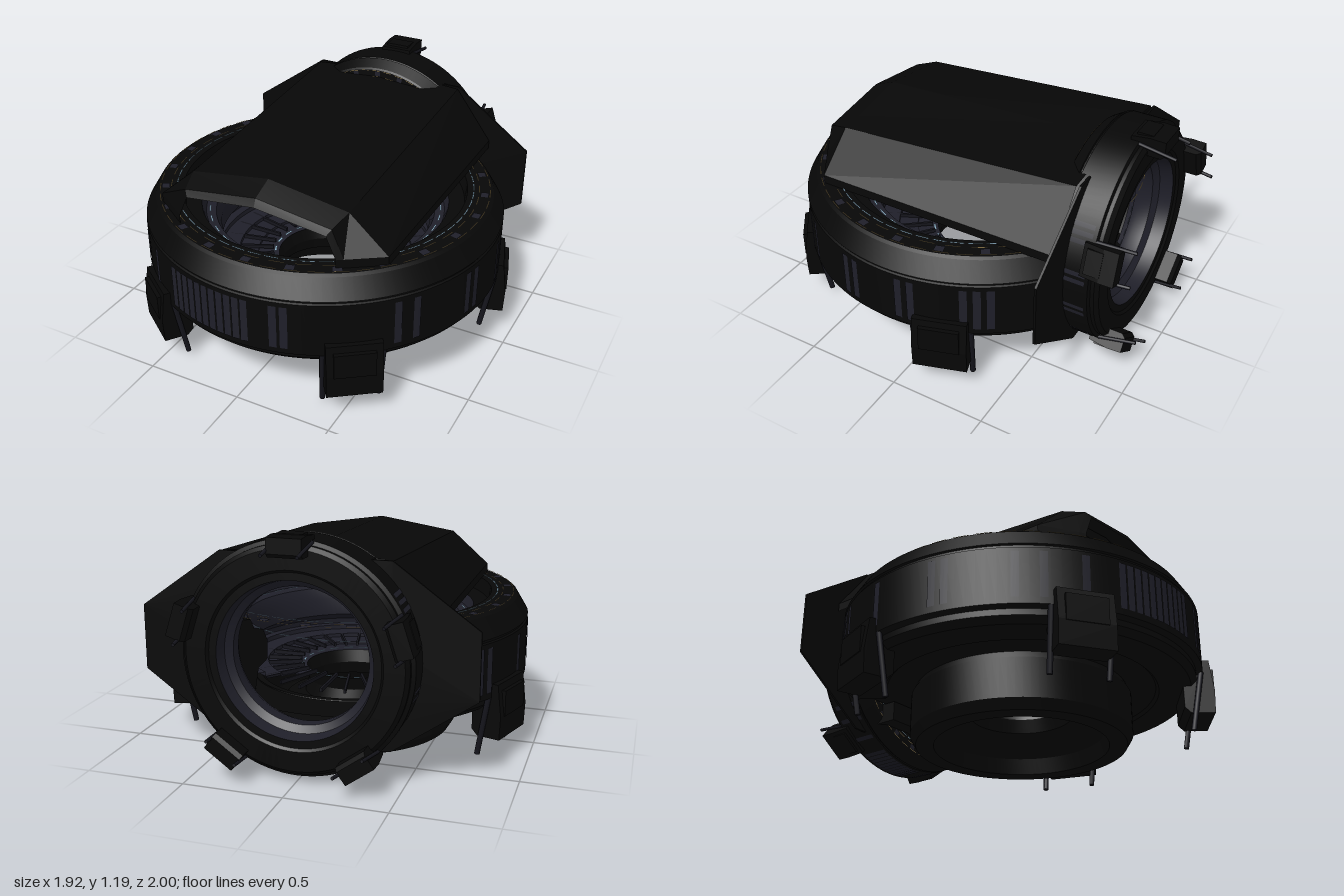
import * as THREE from 'three';
import { toCreasedNormals, mergeGeometries } from 'three/addons/utils/BufferGeometryUtils.js';

const mat = (name, color) => {
  const m = new THREE.MeshStandardMaterial({ color, side: THREE.DoubleSide });
  m.name = name;
  return m;
};
const rad = THREE.MathUtils.degToRad;

export function createModel() {
  const hull = mat('black hull', 0x070707);
  const panel = mat('slate panel', 0x1f1f29);
  const trim = mat('dark slate trim', 0x15151c);
  const gold = mat('gold light', 0xb59a62);
  const blue = mat('pale blue light', 0x8fb2c8);

  const model = new THREE.Group();
  const add = (parent, name, geo, material, x = 0, y = 0, z = 0) => {
    const mesh = new THREE.Mesh(geo, material);
    mesh.name = name;
    mesh.position.set(x, y, z);
    parent.add(mesh);
    return mesh;
  };
  const vec = (pts) => pts.map(([x, y]) => new THREE.Vector2(x, y));
  const lathe = (pts, start = 0, length = Math.PI * 2) =>
    toCreasedNormals(new THREE.LatheGeometry(vec(pts), 96, start, length), 0.4);

  // Flat dashed circle facing up
  const dashes = (r, count, fill, width, y) => mergeGeometries(
    Array.from({ length: count }, (_, i) => {
      const step = Math.PI * 2 / count;
      const g = new THREE.RingGeometry(r - width / 2, r + width / 2, 3, 1, i * step, step * fill);
      return g.rotateX(-Math.PI / 2).translate(0, y, 0);
    }));

  // Thin strut between two points
  const strut = (a, b, r) => {
    const d = b.clone().sub(a);
    const g = new THREE.CylinderGeometry(r, r, d.length(), 8);
    g.applyQuaternion(new THREE.Quaternion().setFromUnitVectors(new THREE.Vector3(0, 1, 0), d.normalize()));
    return g.translate((a.x + b.x) / 2, (a.y + b.y) / 2, (a.z + b.z) / 2);
  };

  // Outer wall, inner lip and throat profiles shared by both rings
  const wall = [[0.62, 0.29], [0.68, 0.29], [0.7, 0.27], [0.86, 0.27], [0.89, 0.3], [0.89, 0.33], [0.922, 0.34],
    [0.922, 0.62], [0.912, 0.625], [0.912, 0.635], [0.922, 0.64], [0.865, 0.735], [0.85, 0.745], [0.73, 0.745]];
  const lip = [[0.73, 0.745], [0.72, 0.67], [0.64, 0.66]];
  const throat = [[0.64, 0.66], [0.62, 0.61], [0.57, 0.6], [0.545, 0.54], [0.545, 0.44], [0.6, 0.4], [0.62, 0.29]];

  // Window angles in degrees, measured from the front
  const windows = [12.8, 16, 49, 55, 75, 79, 95, 99, 115, 119, 123,
    -35, -47, -55, -75, -79, -100, -118, -122, -126];
  for (let i = 0; i < 11; i++) windows.push(-23.5 + i * 2.75);

  function turbineRing(name, halfArc, podAngles) {
    const ring = new THREE.Group();
    ring.name = name;
    add(ring, 'outerWall', lathe(wall, -halfArc, halfArc * 2), hull);
    add(ring, 'innerLip', lathe(lip, -halfArc, halfArc * 2), hull);
    add(ring, 'throat', lathe(throat, -halfArc, halfArc * 2), panel);

    // Cut ends where the wall stops short of a full turn
    if (halfArc < Math.PI) {
      for (const s of [-1, 1]) {
        const outline = new THREE.Shape(vec([...wall, ...lip.slice(1), ...throat.slice(1)]));
        const cap = add(ring, 'wallEnd', new THREE.ShapeGeometry(outline), hull);
        cap.rotation.y = s * halfArc - Math.PI / 2;
      }
    }

    // Windows around the wall
    add(ring, 'wallWindows', mergeGeometries(windows.map((a) =>
      new THREE.CylinderGeometry(0.926, 0.926, 0.23, 2, 1, true, rad(a - 1.15), rad(2.3)).translate(0, 0.485, 0))), panel);

    // Rim lights and small rim plates
    add(ring, 'outerRimLights', dashes(0.845, 48, 0.7, 0.004, 0.75), gold);
    add(ring, 'middleRimLights', dashes(0.79, 40, 0.6, 0.004, 0.75), gold);
    add(ring, 'innerRimLights', dashes(0.762, 56, 0.8, 0.006, 0.75), blue);
    add(ring, 'rimPlates', dashes(0.818, 24, 0.22, 0.04, 0.749), panel);

    // Lights inside the throat
    add(ring, 'throatLights', dashes(0.6, 36, 0.6, 0.008, 0.613), blue);

    // Thruster pods, each with two struts
    const podShape = new THREE.Shape(vec([[0.81, 0.16], [0.84, 0.13], [0.96, 0.13], [0.965, 0.25],
      [0.945, 0.41], [0.87, 0.41], [0.81, 0.3]]));
    for (const a of podAngles) {
      const pod = new THREE.Group();
      pod.name = 'pod';
      pod.rotation.y = rad(a) - Math.PI / 2;
      ring.add(pod);
      add(pod, 'podBody', new THREE.ExtrudeGeometry(podShape, { depth: 0.27, bevelEnabled: false })
        .translate(0, 0, -0.135), hull);
      add(pod, 'podPlate', new THREE.BoxGeometry(0.03, 0.13, 0.2), hull, 0.955, 0.31, 0);
      for (const s of [-1, 1]) {
        add(pod, 'podStrut', strut(new THREE.Vector3(0.9, 0.34, s * 0.144),
          new THREE.Vector3(0.845, 0.036, s * 0.137), 0.014), trim);
      }
    }
    return ring;
  }

  // Main drum, open at the back
  const drum = turbineRing('mainDrum', rad(144), [36, 108, -36, -108]);
  drum.position.z = 0.08;
  model.add(drum);

  // Rear ring, the same assembly turned to face backward
  const rear = turbineRing('rearRing', Math.PI, [36, 108, 180, -36, -108]);
  rear.rotation.x = Math.PI / 2;
  rear.scale.setScalar(0.614);
  rear.position.set(0, 0.595, -1.018);
  model.add(rear);

  // Base with its hollow intake
  add(model, 'base', lathe([[0.26, 0.31], [0.24, 0.24], [0.26, 0.17], [0.36, 0.14], [0.42, 0.08], [0.44, 0],
    [0.53, 0], [0.56, 0.05], [0.56, 0.25], [0.54, 0.29]]), hull, 0, 0, 0.08);
  add(model, 'drumFloor', new THREE.RingGeometry(0.5, 0.76, 72).rotateX(-Math.PI / 2), hull, 0, 0.285, 0.08);

  // Stepped bowl and radial vanes inside the drum
  add(model, 'bowl', lathe([[0.62, 0.37], [0.56, 0.37], [0.56, 0.345], [0.46, 0.345], [0.46, 0.325],
    [0.36, 0.325], [0.36, 0.31], [0.25, 0.31]], -rad(144), rad(288)), panel, 0, 0, 0.08);
  const vanes = [];
  for (let i = 0; i < 28; i++) {
    vanes.push(new THREE.BoxGeometry(0.26, 0.02, 0.012).translate(0.41, 0.335, 0).rotateY(i * Math.PI / 14));
  }
  add(model, 'vanes', mergeGeometries(vanes), trim, 0, 0, 0.08);
  add(model, 'hubLights', dashes(0.27, 20, 0.6, 0.012, 0.318), blue, 0, 0, 0.08);

  // Hood shell from cross-sections: z, half width at foot, half width at roof edge, roof edge y, ridge y
  const sections = [[-0.66, 0.62, 0.42, 1.055, 1.085], [0.64, 0.62, 0.42, 0.965, 1.03],
    [0.755, 0.45, 0.39, 0.93, 0.985], [0.775, 0.42, 0.37, 0.9, 0.945]];
  const pos = [];
  const index = [];
  sections.forEach(([z, b, t, edge, ridge], k) => {
    for (const [x, y] of [[-b, 0.745], [-b, 0.79], [-t, edge], [0, ridge], [t, edge], [b, 0.79], [b, 0.745]]) {
      pos.push(x, y, z);
    }
    if (!k) return;
    for (let i = 0; i < 6; i++) {
      const c = k * 7 + i;
      const p = c - 7;
      index.push(p, c, c + 1, p, c + 1, p + 1);
    }
  });
  const hood = new THREE.BufferGeometry();
  hood.setAttribute('position', new THREE.Float32BufferAttribute(pos, 3));
  hood.setIndex(index);
  add(model, 'hood', toCreasedNormals(hood, 0.1), hull);

  // Frame inside the hood mouth, with an arched opening
  const frame = new THREE.Shape(vec([[-0.61, 0.745], [-0.61, 0.79], [-0.41, 0.96], [0, 1.02], [0.41, 0.96],
    [0.61, 0.79], [0.61, 0.745], [0.53, 0.745], [0.47, 0.85], [0.36, 0.92], [0, 0.965], [-0.36, 0.92],
    [-0.47, 0.85], [-0.53, 0.745]]));
  add(model, 'hoodFrame', new THREE.ExtrudeGeometry(frame, { depth: 0.05, bevelEnabled: false }), hull, 0, 0, 0.58);

  // Eight-sided flange behind the hood, pierced for the rear ring
  const flange = new THREE.Shape(vec([[-0.42, 1.06], [-0.83, 0.765], [-0.83, 0.44], [-0.42, 0.15],
    [0.42, 0.15], [0.83, 0.44], [0.83, 0.765], [0.42, 1.06]]));
  flange.holes.push(new THREE.Path().absarc(0, 0.595, 0.45, 0, Math.PI * 2, true));
  add(model, 'flange', new THREE.ExtrudeGeometry(flange, { depth: 0.012, bevelEnabled: false, curveSegments: 48 }),
    hull, 0, 0, -0.686);

  // Neck joining the drum floor to the rear ring
  add(model, 'neck', new THREE.BoxGeometry(0.7, 0.1, 0.14), hull, 0, 0.225, -0.55);

  return model;
}
